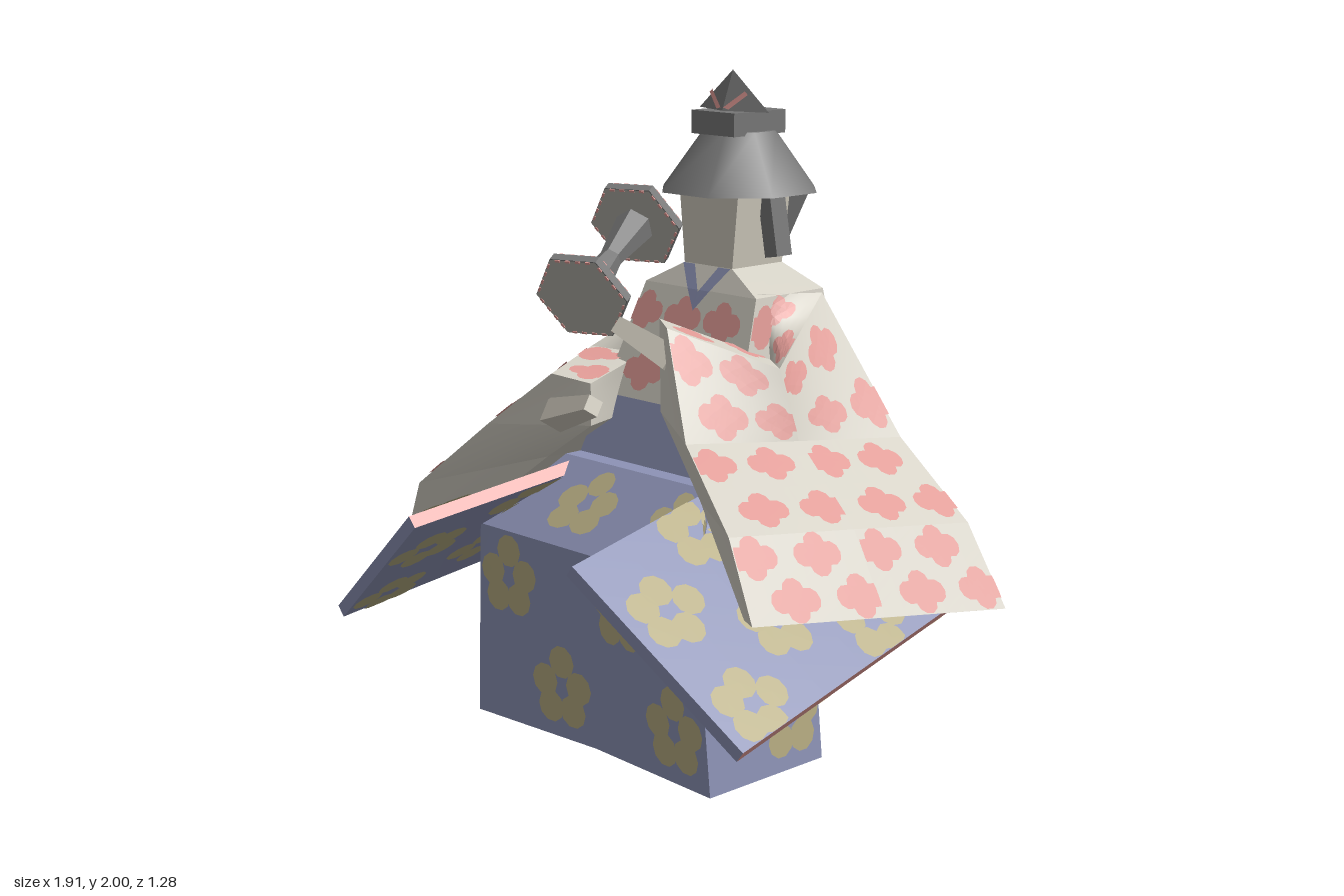
import * as THREE from 'three';
import { mergeGeometries } from 'three/addons/utils/BufferGeometryUtils.js';

const mat = (name, color) => new THREE.MeshStandardMaterial({ name, color, side: THREE.DoubleSide });
const V = (p) => new THREE.Vector3(...p);

export function createModel() {
  const root = new THREE.Group();
  root.name = 'seatedDrummer';
  const cloth = mat('ivory cloth', 0xd4d0c5), pink = mat('pink', 0xe09a95), blue = mat('dusty blue', 0x8d93b6);
  const gold = mat('muted gold', 0xb6ac82), grey = mat('dark grey', 0x777777), skin = mat('pale skin', 0xcfcabd);
  const hide = mat('drum hide', 0xb3b2aa);
  // Printed motifs: round blobs as [across, up, radius]
  const flower = { mat: pink, gapU: 0.2, gapV: 0.15,
    blobs: [[-0.046, 0, 0.036], [0.046, 0, 0.036], [0, 0.03, 0.037], [0, -0.03, 0.037]] };
  const clover = { mat: gold, gapU: 0.42, gapV: 0.32,
    blobs: [[0, 0.09, 0.052], [-0.07, 0.02, 0.052], [0.07, 0.02, 0.052], [-0.045, -0.06, 0.052], [0.045, -0.06, 0.052]] };

  const add = (parent, name, geo, m, flat = true) => {
    if (flat) { geo = geo.index ? geo.toNonIndexed() : geo; geo.computeVertexNormals(); }
    const mesh = new THREE.Mesh(geo, m);
    mesh.name = name;
    parent.add(mesh);
    return mesh;
  };
  const group = (name) => {
    const g = new THREE.Group();
    g.name = name;
    root.add(g);
    return g;
  };

  // Four-cornered sheet, corners counter-clockwise, with optional printed motifs
  function patch(parent, name, corners, m, motif, s = 1) {
    let q = corners.map(([x, y, z]) => V([x * s, y, z]));
    if (s < 0) q = [q[1], q[0], q[3], q[2]];
    const [a, b, c, d] = q;
    const at = (u, v) => a.clone().lerp(b, u).lerp(d.clone().lerp(c, u), v);
    const n = 6, pos = [], idx = [];
    for (let j = 0; j <= n; j++) for (let i = 0; i <= n; i++) pos.push(...at(i / n, j / n).toArray());
    for (let j = 0; j < n; j++) for (let i = 0; i < n; i++) {
      const k = j * (n + 1) + i;
      idx.push(k, k + 1, k + n + 2, k, k + n + 2, k + n + 1);
    }
    const geo = new THREE.BufferGeometry();
    geo.setAttribute('position', new THREE.Float32BufferAttribute(pos, 3));
    geo.setIndex(idx);
    geo.computeVertexNormals();
    add(parent, name, geo, m, false);
    if (!motif) return;
    const lu = (a.distanceTo(b) + d.distanceTo(c)) / 2, lv = (a.distanceTo(d) + b.distanceTo(c)) / 2;
    const nu = Math.max(1, Math.round(lu / motif.gapU)), nv = Math.max(1, Math.round(lv / motif.gapV));
    const clamp = (t) => Math.min(1, Math.max(0, t)), prints = [];
    const lift = (u, v) => {
      const e = 0.02, du = at(u + e, v).sub(at(u - e, v)), dv = at(u, v + e).sub(at(u, v - e));
      return at(u, v).addScaledVector(du.cross(dv).normalize(), 0.004).toArray();
    };
    for (let j = 0; j < nv; j++) for (let i = 0; i < nu; i++) for (const [bx, by, r] of motif.blobs) {
      const cu = (i + (j % 2 ? 0.27 : 0.73)) / nu + bx / lu, cv = (j + 0.5) / nv + by / lv;
      const pts = [], steps = 10;
      for (let k = 0; k < steps; k++) for (const t of [null, k, k + 1]) {
        const w = (t / steps) * Math.PI * 2, rr = t === null ? 0 : r;
        pts.push(...lift(clamp(cu + rr * Math.cos(w) / lu), clamp(cv + rr * Math.sin(w) / lv)));
      }
      const g = new THREE.BufferGeometry();
      g.setAttribute('position', new THREE.Float32BufferAttribute(pts, 3));
      prints.push(g);
    }
    add(parent, name + 'Print', mergeGeometries(prints), motif.mat);
  }

  // Rectangular cross-sections [y, half width, front z, back z] joined by walls
  const ring = ([y, hx, f, b]) => [[-hx, y, f], [hx, y, f], [hx, y, b], [-hx, y, b]];
  function loft(parent, name, sections, m, motif) {
    const r = sections.map(ring);
    for (let k = 0; k + 1 < r.length; k++) for (let i = 0; i < 4; i++) {
      const j = (i + 1) % 4;
      patch(parent, name + 'Wall', [r[k][i], r[k][j], r[k + 1][j], r[k + 1][i]], m, motif);
    }
    patch(parent, name + 'Bottom', [...r[0]].reverse(), m);
    patch(parent, name + 'Top', r[r.length - 1], m);
  }

  // Stool and lower robe
  loft(group('stool'), 'stool', [[0, 0.17, -0.23, -0.57], [0.43, 0.17, -0.23, -0.57]], grey);
  const skirt = group('skirt');
  for (const s of [1, -1]) {
    const P = (q, name, mo) => patch(skirt, name, q, blue, mo, s);
    P([[0, 0, 0.23], [0.515, 0, 0.26], [0.47, 0.62, 0.28], [0, 0.62, 0.25]], 'skirtFront', clover);
    P([[0.515, 0, 0.26], [0.515, 0, -0.21], [0.47, 0.62, -0.19], [0.47, 0.62, 0.28]], 'skirtSide', clover);
    P([[0.515, 0, -0.21], [0, 0, -0.21], [0, 0.62, -0.19], [0.47, 0.62, -0.19]], 'skirtBack', clover);
    P([[0, 0, -0.21], [0.515, 0, -0.21], [0.515, 0, 0.26], [0, 0, 0.23]], 'skirtBottom');
  }
  const hips = group('hips');
  loft(hips, 'seatRobe', [[0.42, 0.43, -0.19, -0.61], [0.62, 0.48, -0.19, -0.64]], blue, clover);
  loft(hips, 'lap', [[0.62, 0.475, 0.28, -0.64], [0.83, 0.32, 0.06, -0.55]], blue, clover);

  // Torso, blue back panel and collar
  const torso = group('torso');
  loft(torso, 'waist', [[0.83, 0.32, 0.0, -0.55], [1.01, 0.29, -0.07, -0.53]], blue);
  loft(torso, 'chest', [[1.01, 0.29, -0.07, -0.53], [1.35, 0.235, -0.2, -0.49]], cloth, flower);
  loft(torso, 'shoulders', [[1.35, 0.235, -0.2, -0.49], [1.42, 0.1, -0.235, -0.45]], cloth);
  patch(torso, 'backPanel', [[0.24, 1.0, -0.538], [-0.24, 1.0, -0.538], [-0.2, 1.09, -0.528], [0.2, 1.09, -0.528]], blue);
  patch(torso, 'backPanelArch', [[0.2, 1.09, -0.528], [-0.2, 1.09, -0.528], [-0.09, 1.16, -0.52], [0.09, 1.16, -0.52]], blue);
  for (const s of [1, -1]) {
    patch(torso, 'collarTip', [[0, 1.29, -0.17], [0.046, 1.35, -0.193], [0.004, 1.35, -0.193], [0, 1.345, -0.191]], blue, null, s);
    patch(torso, 'collarBand', [[0.004, 1.35, -0.193], [0.046, 1.35, -0.193], [0.1, 1.42, -0.228], [0.05, 1.42, -0.228]], blue, null, s);
  }

  // Stiff side panels with pink hems
  for (const s of [1, -1]) {
    const g = group(s > 0 ? 'leftPanel' : 'rightPanel');
    const top = [[0.36, 0.73, 0.64], [0.895, 0.31, 0.52], [0.78, 0.5, -0.57], [0.21, 0.91, -0.54]];
    const n = V(top[1]).sub(V(top[0])).cross(V(top[3]).sub(V(top[0]))).normalize();
    const low = top.map((p) => V(p).addScaledVector(n, -0.04).toArray());
    patch(g, 'panelTop', top, blue, clover, s);
    patch(g, 'panelUnderside', [...low].reverse(), blue, clover, s);
    for (let i = 0; i < 4; i++) {
      const j = (i + 1) % 4;
      patch(g, 'panelEdge', [low[i], low[j], top[j], top[i]], i % 2 ? pink : blue, null, s);
    }
  }

  // Hanging sleeves: front, middle and back lines outside; mouth and back lines inside
  function sleeve(name, s, F, E, B, I, J) {
    const g = group(name);
    const P = (part, q, mo) => patch(g, part, q, cloth, mo, s);
    for (let k = 0; k < 3; k++) {
      const l = k + 1;
      P('sleeveFrontOuter', [F[l], E[l], E[k], F[k]], flower);
      P('sleeveBackOuter', [E[l], B[l], B[k], E[k]], flower);
      P('sleeveMouth', [I[l], F[l], F[k], I[k]]);
      P('sleeveInner', [J[l], I[l], I[k], J[k]]);
      P('sleeveRear', [B[l], J[l], J[k], B[k]]);
    }
    P('sleeveBottom', [I[3], J[3], B[3], F[3]]);
    P('forearm', [I[0], F[0], E[0], J[0]], flower);
    P('upperArm', [J[0], E[0], B[0], [0.22, 1.36, -0.22]], flower);
  }
  sleeve('leftSleeve', 1,
    [[0.2, 1.3, 0.13], [0.36, 1.0, 0.21], [0.65, 0.81, 0.33], [0.78, 0.595, 0.37]],
    [[0.38, 1.17, -0.15], [0.45, 0.965, -0.16], [0.73, 0.77, -0.09], [0.87, 0.548, -0.07]],
    [[0.25, 1.34, -0.47], [0.52, 0.93, -0.53], [0.8, 0.725, -0.51], [0.955, 0.5, -0.5]],
    [[0.07, 1.3, 0.035], [0.07, 1.02, 0.03], [0.33, 0.81, 0.12], [0.72, 0.595, 0.34]],
    [[0.25, 1.17, -0.24], [0.36, 0.94, -0.45], [0.72, 0.69, -0.47], [0.92, 0.505, -0.48]]);
  sleeve('rightSleeve', -1,
    [[0.28, 1.1, 0.15], [0.5, 0.92, 0.22], [0.78, 0.69, 0.275], [0.905, 0.4, 0.26]],
    [[0.41, 1.13, -0.13], [0.53, 0.935, -0.15], [0.82, 0.735, -0.15], [0.93, 0.455, -0.17]],
    [[0.25, 1.34, -0.47], [0.55, 0.94, -0.52], [0.85, 0.77, -0.58], [0.955, 0.5, -0.61]],
    [[0.16, 1.08, 0.1], [0.16, 0.95, 0.1], [0.36, 0.82, 0.1], [0.87, 0.41, 0.22]],
    [[0.25, 1.12, -0.2], [0.4, 0.92, -0.45], [0.75, 0.68, -0.53], [0.92, 0.48, -0.58]]);

  // Straight bar between two points
  function bar(parent, name, from, to, r0, r1, sides, m) {
    const a = V(from), d = V(to).sub(a);
    const mesh = add(parent, name, new THREE.CylinderGeometry(r1, r0, d.length(), sides), m);
    mesh.position.copy(a).addScaledVector(d, 0.5);
    mesh.quaternion.setFromUnitVectors(new THREE.Vector3(0, 1, 0), d.normalize());
  }
  const hands = group('hands');
  bar(hands, 'leftHand', [0.14, 1.19, 0.05], [-0.02, 1.28, 0.12], 0.055, 0.035, 4, skin);
  bar(hands, 'rightHand', [-0.28, 0.97, 0.14], [-0.06, 1.04, 0.18], 0.055, 0.035, 4, skin);

  // Hourglass hand drum on the right shoulder, with pink stitches round each head
  const drum = group('handDrum');
  drum.position.set(-0.255, 1.43, -0.07);
  const axis = V([0.13, -0.17, 0.34]);
  drum.quaternion.setFromRotationMatrix(new THREE.Matrix4().lookAt(axis, V([0, 0, 0]), V([0, 1, 0])));
  const half = axis.length() / 2;
  for (const s of [1, -1]) {
    const geo = new THREE.CylinderGeometry(0.152, 0.152, 0.03, 6).rotateY(Math.PI / 2).rotateX(Math.PI / 2);
    add(drum, 'drumHead', geo, grey).position.z = s * half;
    const face = new THREE.CircleGeometry(0.15, 6);
    add(drum, 'drumFace', face, hide).position.z = s * half + 0.017;
    bar(drum, 'drumBody', [0, 0, 0], [0, 0, s * half], 0.035, 0.065, 6, grey);
    for (let i = 0; i < 6; i++) for (const t of [-0.05, -0.017, 0.017, 0.05]) {
      const stitch = new THREE.BoxGeometry(0.016, 0.007, 0.038).translate(t, 0.127, s * half);
      add(drum, 'stitch', stitch.rotateZ(i * Math.PI / 3), pink);
    }
  }

  // Head and hair
  const head = group('head');
  loft(head, 'face', [[1.41, 0.1, -0.235, -0.45], [1.66, 0.125, -0.235, -0.46]], skin);
  const hair = group('hair');
  const crown = new THREE.CylinderGeometry(0.115, 0.25, 0.18, 8).rotateY(Math.PI / 8);
  add(hair, 'crown', crown, grey, false).position.set(0, 1.73, -0.365);
  const nape = [[0.2, 1.64, -0.4], [0.1, 1.64, -0.58], [0.11, 1.47, -0.455]];
  patch(hair, 'napeHair', [nape[2], [-0.11, 1.47, -0.455], [-0.1, 1.64, -0.58], nape[1]], grey);
  for (const s of [1, -1]) {
    patch(hair, 'napeSide', [nape[2], nape[2], nape[1], nape[0]], grey, null, s);
    const lock = add(hair, 'sideLock', new THREE.BoxGeometry(0.05, 0.2, 0.065), grey);
    lock.position.set(s * 0.145, 1.55, -0.37);
    lock.rotation.z = s * 0.18;
  }
  loft(hair, 'topKnot', [[1.81, 0.09, -0.25, -0.47], [1.88, 0.09, -0.25, -0.47]], grey);

  // Pointed hair ornament with pink chevron
  const apex = [0, 2, -0.335], tip = [0, 1.88, -0.29], wing = [0.145, 1.88, -0.34];
  for (const s of [1, -1]) {
    patch(hair, 'ornamentFace', [tip, wing, apex, apex], grey, null, s);
    patch(hair, 'ornamentStripe', [[0.005, 1.89, -0.288], [0.025, 1.885, -0.291], [0.08, 1.93, -0.317], [0.068, 1.94, -0.316]], pink, null, s);
  }
  patch(hair, 'ornamentBack', [wing, [-0.145, 1.88, -0.34], apex, apex], grey);
  return root;
}
